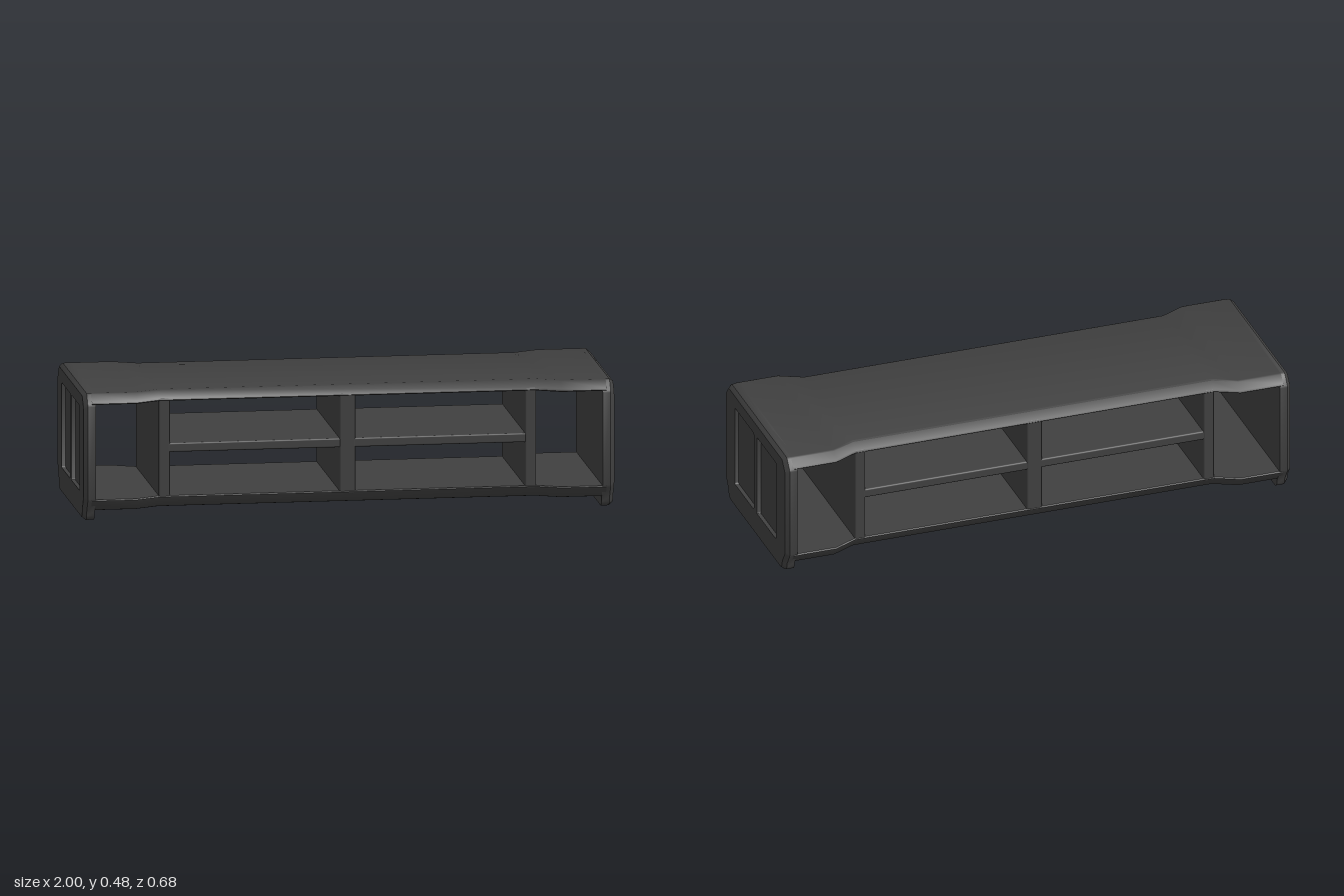
import * as THREE from 'three';
import { toCreasedNormals } from 'three/addons/utils/BufferGeometryUtils.js';
import { RoundedBoxGeometry } from 'three/addons/geometries/RoundedBoxGeometry.js';

const charcoal = new THREE.MeshStandardMaterial({ color: 0x404040 });
charcoal.name = 'charcoal';

function add(group, name, geometry) {
  const mesh = new THREE.Mesh(geometry, charcoal);
  mesh.name = name;
  group.add(mesh);
  return mesh;
}

// Long board with chamfered edges that flares out towards both ends.
// profile: [inset from the edge, y], from the inner face to the outer face
function flaredBoard(profile, upsideDown) {
  const stations = [[-0.97, 0.34], [-0.8, 0.34], [-0.71, 0.297], [0.71, 0.297], [0.8, 0.34], [0.97, 0.34]];
  const rings = stations.map(([x, w]) => {
    const right = profile.map(([inset, y]) => [x, y, w - inset]);
    const left = profile.map(([inset, y]) => [x, y, inset - w]).reverse();
    const ring = [...right, ...left];
    return upsideDown ? ring.reverse() : ring;
  });
  const positions = [];
  for (let i = 0; i < rings.length - 1; i++) {
    const a = rings[i], b = rings[i + 1];
    for (let j = 0; j < a.length; j++) {
      const k = (j + 1) % a.length;
      positions.push(...a[j], ...b[j], ...a[k], ...b[j], ...b[k], ...a[k]);
    }
  }
  const geometry = new THREE.BufferGeometry();
  geometry.setAttribute('position', new THREE.Float32BufferAttribute(positions, 3));
  return toCreasedNormals(geometry, 0.75);
}

// Eight-sided end outline with feet at the bottom
function endOutline() {
  const half = [
    [0.285, 0], [0.299, 0.007], [0.307, 0.019], [0.309, 0.036], [0.337, 0.078], [0.34, 0.088],
    [0.34, 0.438], [0.337, 0.446], [0.311, 0.479], [0.303, 0.484],
  ];
  const points = [...half, ...half.map(([z, y]) => [-z, y]).reverse()];
  return new THREE.Shape(points.map(([z, y]) => new THREE.Vector2(z, y)));
}

// Rectangle with small round corners, for the sunken fields
function roundedField(x0, x1, y0, y1, r) {
  const p = new THREE.Path();
  p.absarc(x1 - r, y1 - r, r, 0, Math.PI / 2);
  p.absarc(x0 + r, y1 - r, r, Math.PI / 2, Math.PI);
  p.absarc(x0 + r, y0 + r, r, Math.PI, Math.PI * 1.5);
  p.absarc(x1 - r, y0 + r, r, Math.PI * 1.5, Math.PI * 2);
  p.closePath();
  return p;
}

function endPanel(name, side) {
  const group = new THREE.Group();
  group.name = name;
  const slab = new THREE.ExtrudeGeometry(endOutline(), { depth: 0.03, bevelEnabled: false });
  slab.translate(0, 0, 0.955);
  add(group, 'panelCore', toCreasedNormals(slab, 0.75));

  // outer face, cut by two fields and chamfered around its rim
  const face = endOutline();
  for (const [a, b] of [[0.018, 0.227], [-0.227, -0.018]]) {
    face.holes.push(roundedField(a, b, 0.101, 0.424, 0.006));
  }
  const rim = new THREE.ExtrudeGeometry(face, { depth: 0.015, bevelEnabled: false, curveSegments: 4 });
  const p = rim.attributes.position;
  for (let i = 0; i < p.count; i++) {
    const x = p.getX(i), y = p.getY(i);
    const onRim = Math.abs(x) > 0.24 || y < 0.09 || y > 0.435;
    if (onRim && p.getZ(i) > 0.01) p.setXY(i, x * 0.965, 0.242 + (y - 0.242) * 0.955);
  }
  rim.translate(0, 0, 0.985);
  add(group, 'panelFace', toCreasedNormals(rim, 0.6));
  group.rotation.y = side * Math.PI / 2;
  return group;
}

export function createModel() {
  const model = new THREE.Group();
  model.name = 'lowShelfUnit';

  // Top and bottom boards
  add(model, 'topBoard', flaredBoard(
    [[0.004, 0.445], [0, 0.449], [0.004, 0.456], [0.028, 0.481], [0.036, 0.484]], false));
  add(model, 'bottomBoard', flaredBoard(
    [[0.004, 0.085], [0, 0.081], [0.004, 0.074], [0.028, 0.043], [0.036, 0.04]], true));

  // End panels
  model.add(endPanel('leftEndPanel', 1), endPanel('rightEndPanel', -1));

  // Upright dividers
  for (const [name, x, width] of [['leftDivider', 0.69, 0.042], ['middleDivider', 0, 0.06], ['rightDivider', -0.69, 0.042]]) {
    add(model, name, new RoundedBoxGeometry(width, 0.385, 0.59, 2, 0.006)).position.set(x, 0.265, 0);
  }

  // Middle shelves
  for (const [name, side] of [['leftShelf', 1], ['rightShelf', -1]]) {
    add(model, name, new RoundedBoxGeometry(0.67, 0.035, 0.586, 2, 0.006)).position.set(side * 0.35, 0.267, 0);
  }
  return model;
}
